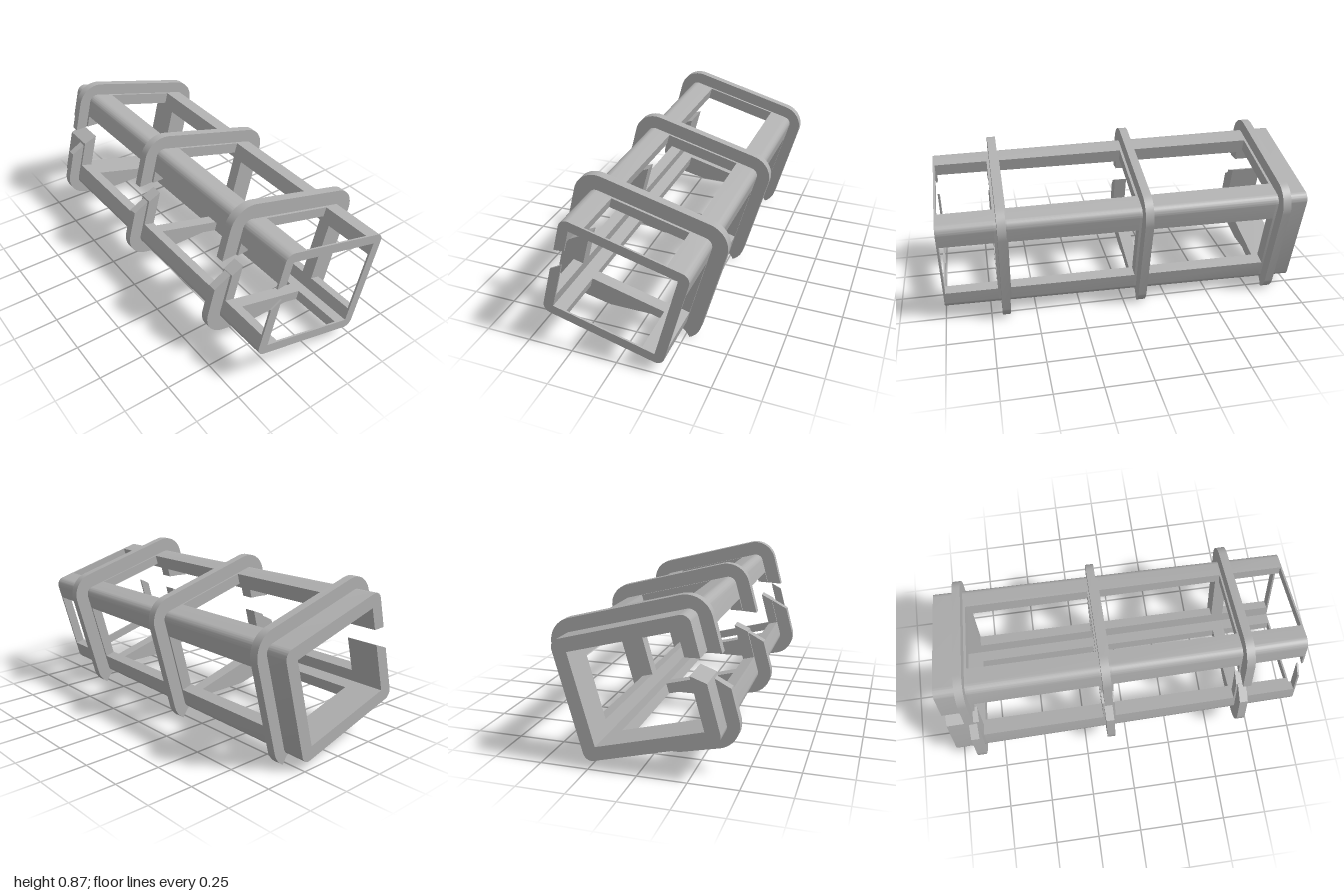
import * as THREE from 'three';
import { toCreasedNormals } from 'three/addons/utils/BufferGeometryUtils.js';

const TILT = -Math.PI / 12, CY = 0.4235;       // the section leans 15 degrees
const IN_U = 0.28, IN_V = 0.24;                // half size of the inner opening
const OUT_U = 0.333, OUT_V = 0.291, OUT_R = 0.045;  // shell outline at the front
const FL_U = 0.415, FL_V = 0.375, FL_R = 0.125;     // flange outline

const rad = Math.PI / 180;

// Points along an arc, angles in degrees
function arc(cx, cy, r, a0, a1, n = 12) {
  return Array.from({ length: n + 1 }, (_, i) => {
    const a = (a0 + (a1 - a0) * i / n) * rad;
    return [cx + r * Math.cos(a), cy + r * Math.sin(a)];
  });
}

// Upright coordinates to tilted section coordinates
function toLocal([x, y]) {
  const c = Math.cos(TILT), s = Math.sin(TILT), dy = y - CY;
  return [x * c + dy * s, -x * s + dy * c];
}

// Edges of the slot in the left-hand wall of the section
const upperCut = u => [u, 0.118 + (u + IN_U) * 0.33];
const lowerCut = u => [u, 0.03 + (u + IN_U) * 0.93];

// Extrude a section between two depths
function prism(points, z0, z1, draft) {
  const shape = new THREE.Shape(points.map(p => new THREE.Vector2(p[0], p[1])));
  const geo = new THREE.ExtrudeGeometry(shape, { depth: z1 - z0, bevelEnabled: false });
  geo.translate(0, 0, z0);
  if (draft) {
    // outer skin widens slightly towards the back
    const pos = geo.attributes.position;
    for (let i = 0; i < pos.count; i++) {
      const u = pos.getX(i), v = pos.getY(i), d = 0.009 * (1 - pos.getZ(i));
      if (Math.abs(u) > IN_U + 0.001) pos.setX(i, u + Math.sign(u) * d);
      if (Math.abs(v) > IN_V + 0.001) pos.setY(i, v + Math.sign(v) * d);
    }
  }
  return toCreasedNormals(geo, 0.6);
}

// Open rounded frame with a slot on one side
function ringPoints() {
  const a = OUT_U - OUT_R, b = OUT_V - OUT_R;
  return [
    upperCut(-OUT_U),
    ...arc(-a, b, OUT_R, 180, 90), ...arc(a, b, OUT_R, 90, 0),
    ...arc(a, -b, OUT_R, 0, -90), ...arc(-a, -b, OUT_R, -90, -180),
    lowerCut(-OUT_U), lowerCut(-IN_U),
    [-IN_U, -IN_V], [IN_U, -IN_V], [IN_U, IN_V], [-IN_U, IN_V],
    upperCut(-IN_U),
  ];
}

// Flange outline with flat and scooped relief underneath
function flangePoints() {
  const a = FL_U - FL_R, b = FL_V - FL_R, iu = 0.3, iv = 0.26;
  return [
    upperCut(-FL_U),
    ...arc(-a, b, FL_R, 180, 90), ...arc(a, b, FL_R, 90, 0),
    ...arc(a, -b, FL_R, 0, -46),
    ...arc(0.13, -0.07, 0.16, 27, 90).map(toLocal),
    toLocal([-0.175, 0.09]),
    ...arc(-a, -b, FL_R, -90, -180),
    lowerCut(-FL_U), lowerCut(-iu),
    [-iu, -iv], [iu, -iv], [iu, iv], [-iu, iv],
    upperCut(-iu),
  ];
}

// L-shaped corner rail for one quadrant
function railPoints(su, sv) {
  const pts = [
    [IN_U, 0.17], [OUT_U, 0.17],
    ...arc(OUT_U - OUT_R, OUT_V - OUT_R, OUT_R, 0, 90),
    [0.21, OUT_V], [0.21, IN_V], [IN_U, IN_V],
  ];
  return pts.map(([u, v]) => [u * su, v * sv]);
}

export function createModel() {
  const grey = new THREE.MeshStandardMaterial({ color: 0xb0b0b0 });
  grey.name = 'plain grey';
  const model = new THREE.Group();
  model.name = 'slottedFrame';
  const body = new THREE.Group();
  body.name = 'tiltedBody';
  body.rotation.z = TILT;
  body.position.y = CY;
  model.add(body);

  const add = (name, geo) => {
    const mesh = new THREE.Mesh(geo, grey);
    mesh.name = name;
    body.add(mesh);
  };

  // Shell rings, back to front
  const rings = [[-1, -0.82], [-0.13, -0.06], [0.635, 0.705], [0.99, 1]];
  rings.forEach(([z0, z1], i) => add(`shellRing${i + 1}`, prism(ringPoints(), z0, z1, true)));

  // Corner rails between neighbouring rings
  for (let i = 0; i < rings.length - 1; i++) {
    for (const su of [-1, 1]) for (const sv of [-1, 1]) {
      const name = `${sv > 0 ? 'upper' : 'lower'}${su > 0 ? 'Left' : 'Right'}Rail${i + 1}`;
      add(name, prism(railPoints(su, sv), rings[i][1], rings[i + 1][0], true));
    }
  }

  // Flanges standing proud of the shell
  [-0.88, -0.12, 0.645].forEach((z, i) =>
    add(`flange${i + 1}`, prism(flangePoints(), z, z + 0.046, false)));

  return model;
}
